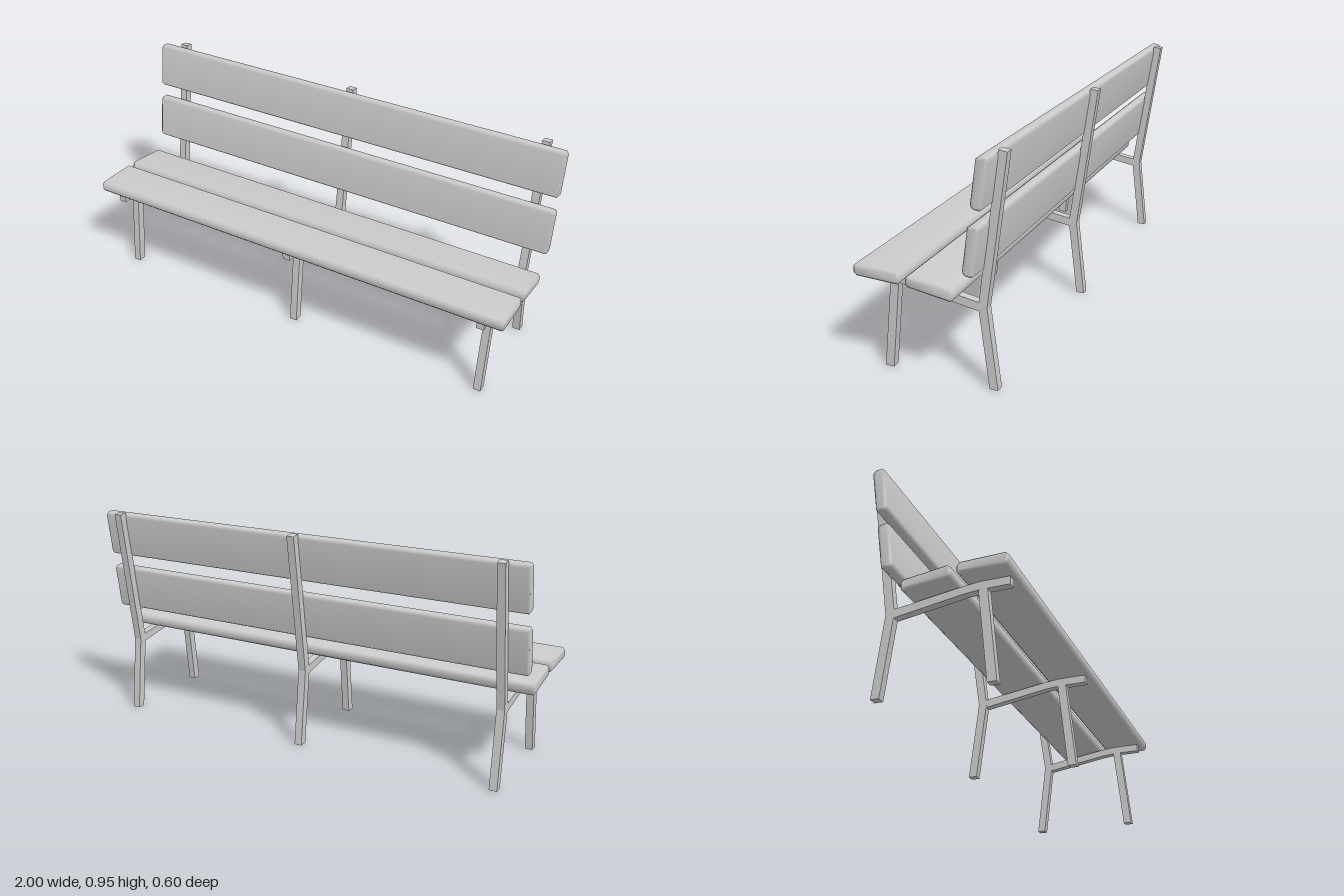
import * as THREE from 'three';
import { mergeVertices } from 'three/addons/utils/BufferGeometryUtils.js';

const material = new THREE.MeshStandardMaterial({ color: 0xcccccc });

// Extrudes a [z, y] outline along x, centred on x = 0.
function extrudeAcross(points, length, bevel = 0) {
  const shape = new THREE.Shape(points.map(([z, y]) => new THREE.Vector2(z, y)));
  const depth = length - 2 * bevel;
  const geometry = new THREE.ExtrudeGeometry(shape, {
    depth,
    bevelEnabled: bevel > 0,
    bevelThickness: bevel,
    bevelSize: bevel,
    bevelOffset: -bevel,
    bevelSegments: 1,
  });
  return geometry.translate(0, 0, -depth / 2).rotateY(-Math.PI / 2);
}

// Plank: chamfered section with softly shaded edges.
function plankGeometry() {
  const w = 0.1, h = 0.025, c = 0.012;
  const geometry = extrudeAcross([
    [w - c, -h], [w, -h + c], [w, h - c], [w - c, h],
    [-w + c, h], [-w, h - c], [-w, -h + c], [-w + c, -h],
  ], 2, 0.008);
  geometry.deleteAttribute('normal');
  geometry.deleteAttribute('uv');
  const smooth = mergeVertices(geometry, 1e-5);
  smooth.computeVertexNormals();
  return smooth;
}

// Side profiles of one support frame.
const frameParts = {
  backPost: [
    [-0.253, 0], [-0.218, 0], [-0.177, 0.335], [-0.266, 0.95], [-0.301, 0.945], [-0.213, 0.333],
  ],
  seatRail: [
    [0.281, 0.37], [0.281, 0.403], [0.16, 0.402], [0.1, 0.396], [-0.19, 0.351],
    [-0.19, 0.315], [0.1, 0.363], [0.16, 0.369],
  ],
  frontLeg: [[0.196, 0], [0.233, 0], [0.191, 0.38], [0.155, 0.38]],
};

export function createModel() {
  const bench = new THREE.Group();
  bench.name = 'bench';

  // Planks: name, y, z, backward tilt in degrees
  const plank = plankGeometry();
  const planks = [
    ['frontSeatPlank', 0.429, 0.203, -1.8],
    ['rearSeatPlank', 0.411, -0.018, -8.3],
    ['lowerBackPlank', 0.585, -0.191, -98.3],
    ['upperBackPlank', 0.844, -0.229, -98.3],
  ];
  for (const [name, y, z, tilt] of planks) {
    const mesh = new THREE.Mesh(plank, material);
    mesh.name = name;
    mesh.position.set(0, y, z);
    mesh.rotation.x = THREE.MathUtils.degToRad(tilt);
    bench.add(mesh);
  }

  // Three identical support frames; the rail and leg are a hair thinner so faces do not coincide
  const widths = { backPost: 0.034, seatRail: 0.0335, frontLeg: 0.033 };
  const geometries = Object.entries(frameParts).map(
    ([name, points]) => [name, extrudeAcross(points, widths[name])]);
  for (const [name, x] of [['rightFrame', -0.9], ['middleFrame', 0], ['leftFrame', 0.9]]) {
    const frame = new THREE.Group();
    frame.name = name;
    frame.position.x = x;
    for (const [part, geometry] of geometries) {
      const mesh = new THREE.Mesh(geometry, material);
      mesh.name = part;
      frame.add(mesh);
    }
    bench.add(frame);
  }

  return bench;
}
